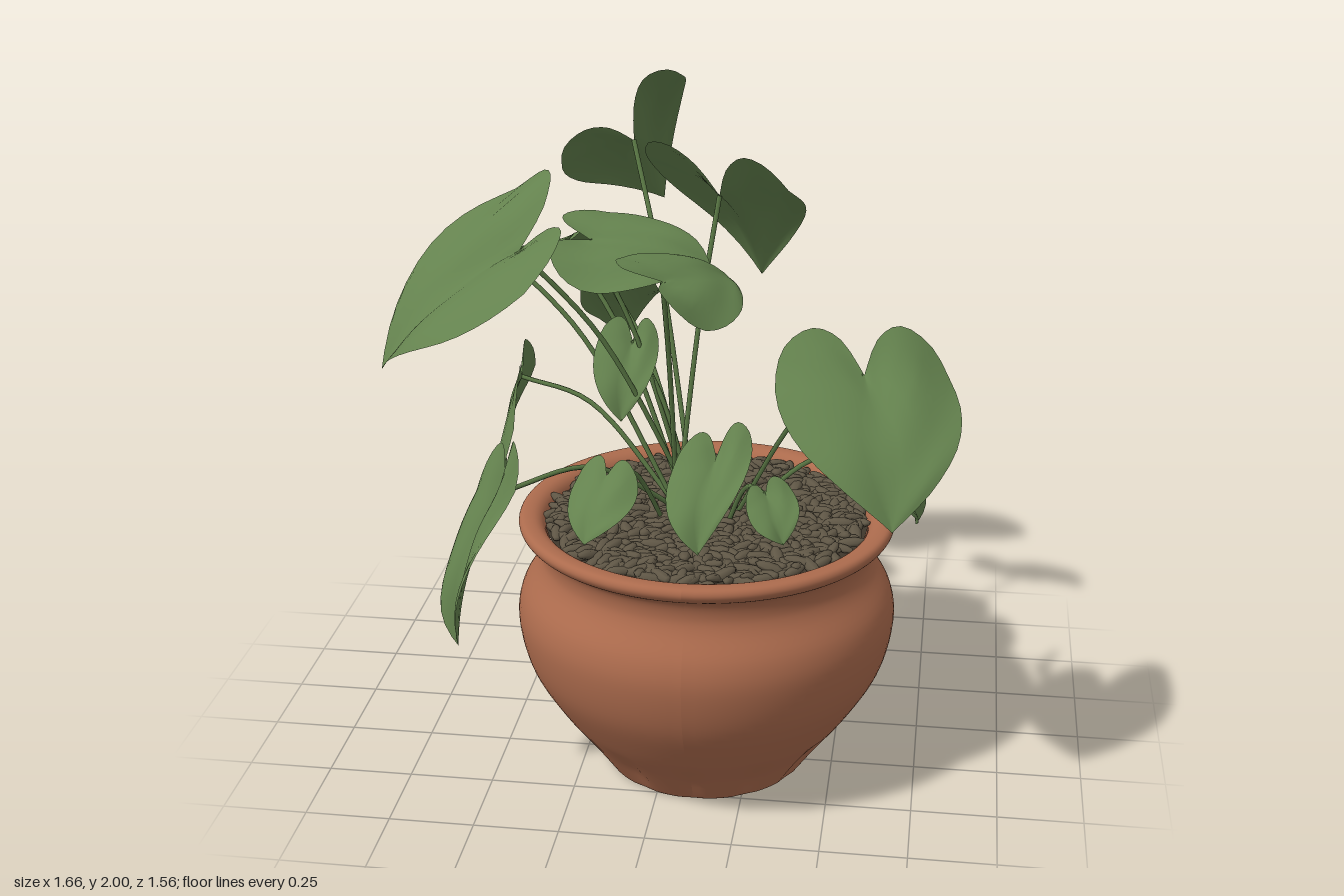
import * as THREE from 'three';
import { mergeGeometries } from 'three/addons/utils/BufferGeometryUtils.js';

const V = (a) => new THREE.Vector3(...a);
const V2 = (x, y) => new THREE.Vector2(x, y);

// Small seeded random generator
function seeded(seed) {
  return () => {
    seed = (seed * 16807) % 2147483647;
    return seed / 2147483647;
  };
}

// One half of a heart-shaped blade: x runs along the midrib, y is the width
const outline = new THREE.SplineCurve([
  V2(0, 0), V2(-0.23, 0.21), V2(-0.31, 0.51), V2(-0.17, 0.86), V2(0.15, 1),
  V2(0.47, 0.85), V2(0.77, 0.46), V2(1, 0),
]);

// Blade from its stem joint, tip and the widest point of either half
function leafGeometry(joint, tip, sideA, sideB) {
  const P = V(joint), T = V(tip), A = V(sideA), B = V(sideB);
  const axis = T.clone().sub(P);
  const len = axis.length();
  const normal = A.clone().sub(B).cross(axis).normalize();
  if (normal.y < 0) normal.negate();
  const midrib = (a) => P.clone().addScaledVector(axis, a)
    .addScaledVector(normal, a > 0 ? 0.3 * len * a * (1 - a) : 0);
  const vecA = A.sub(midrib(0.15)), vecB = B.sub(midrib(0.15));
  const rows = 22, half = 5, cols = 2 * half + 1;
  const positions = [], index = [];
  for (let i = 0; i <= rows; i++) {
    const t = i / rows, edge = outline.getPoint(t);
    for (let j = -half; j <= half; j++) {
      const k = Math.abs(j) / half;
      const a = THREE.MathUtils.lerp(t, edge.x, k), w = edge.y * k;
      const ripple = 0.02 * len * Math.sin(t * 13 + j) * k * Math.sin(Math.PI * t);
      const p = midrib(a).addScaledVector(j < 0 ? vecB : vecA, w)
        .addScaledVector(normal, 0.23 * len * w * (1 - w) + ripple);
      positions.push(p.x, p.y, p.z);
    }
  }
  for (let i = 0; i < rows; i++) {
    for (let j = 0; j < cols - 1; j++) {
      const q = i * cols + j;
      index.push(q, q + cols, q + 1, q + 1, q + cols, q + cols + 1);
    }
  }
  const g = new THREE.BufferGeometry();
  g.setAttribute('position', new THREE.Float32BufferAttribute(positions, 3));
  g.setIndex(index);
  g.computeVertexNormals();
  return g;
}

export function createModel() {
  const model = new THREE.Group();
  const material = (name, color, side = THREE.FrontSide) => {
    const m = new THREE.MeshStandardMaterial({ color, side });
    m.name = name;
    return m;
  };
  const terracotta = material('terracotta', 0xac6b4d);
  const leafGreen = material('leaf green', 0x64824e, THREE.DoubleSide);
  const stemGreen = material('stem green', 0x587543);
  const pebbleBrown = material('pebble brown', 0x605746);
  const soilBrown = material('soil brown', 0x3f372c);
  const add = (name, geometry, mat, parent = model) => {
    const mesh = new THREE.Mesh(geometry, mat);
    mesh.name = name;
    parent.add(mesh);
    return mesh;
  };

  // Pot with a rolled rim, standing off the plant's centre
  const pot = new THREE.Group();
  pot.name = 'pot';
  pot.position.set(0.11, 0, 0.22);
  model.add(pot);
  const wall = new THREE.SplineCurve([
    V2(0.303, 0.004), V2(0.37, 0.1), V2(0.455, 0.215), V2(0.53, 0.345), V2(0.56, 0.475),
    V2(0.548, 0.565), V2(0.5, 0.645), V2(0.488, 0.69), V2(0.5, 0.735), V2(0.54, 0.762),
    V2(0.553, 0.785), V2(0.54, 0.803), V2(0.5, 0.8), V2(0.475, 0.77), V2(0.468, 0.7),
  ]).getPoints(70);
  const potGeometry = new THREE.LatheGeometry(
    [V2(0, 0.012), V2(0.27, 0.012), V2(0.285, 0), V2(0.298, 0), ...wall], 96);
  // Soft flutes pressed into the foot
  const pp = potGeometry.attributes.position;
  for (let i = 0; i < pp.count; i++) {
    const x = pp.getX(i), y = pp.getY(i), z = pp.getZ(i);
    const fade = Math.max(0, 1 - Math.abs(y - 0.07) / 0.1);
    const f = 1 - 0.04 * fade * Math.max(0, Math.cos(12 * Math.atan2(z, x)));
    pp.setXYZ(i, x * f, y, z * f);
  }
  potGeometry.computeVertexNormals();
  add('potBody', potGeometry, terracotta, pot);

  const soil = add('soil', new THREE.CircleGeometry(0.474, 48), soilBrown, pot);
  soil.rotation.x = -Math.PI / 2;
  soil.position.y = 0.77;

  // Elongated pebbles spread in a spiral
  const random = seeded(41);
  const pebbles = [];
  const count = 720;
  for (let i = 0; i < count; i++) {
    const r = 0.46 * Math.sqrt((i + 0.5) / count), angle = i * 2.39996;
    const s = 0.85 + 0.35 * random();
    const g = new THREE.SphereGeometry(1, 7, 5);
    g.rotateZ(Math.PI / 2);
    g.scale(0.04 * s, 0.013 * s, 0.018 * s);
    g.rotateZ((random() - 0.5) * 0.7);
    g.rotateY(random() * Math.PI);
    g.translate(r * Math.cos(angle), 0.776 + 0.012 * random(), r * Math.sin(angle));
    pebbles.push(g);
  }
  add('pebbles', mergeGeometries(pebbles), pebbleBrown, pot);

  // Each leaf has a blade and a stem arching up from the soil
  let number = 0;
  const leaf = (joint, tip, sideA, sideB, root = [0.04, 0.14]) => {
    const group = new THREE.Group();
    group.name = `leaf${++number}`;
    model.add(group);
    add('blade', leafGeometry(joint, tip, sideA, sideB), leafGreen, group);
    const end = V(joint);
    const start = V([root[0] + 0.03 * Math.sin(number * 2.4), 0.76, root[1] + 0.03 * Math.cos(number * 2.4)]);
    const middle = start.clone().lerp(end, 0.55);
    middle.y += 0.05 + 0.1 * Math.hypot(end.x - start.x, end.z - start.z);
    const path = new THREE.CatmullRomCurve3([start, middle, end]);
    add('stem', new THREE.TubeGeometry(path, 16, 0.0075, 6), stemGreen, group);
  };

  // Tall leaves at the back
  leaf([-0.2, 1.75, -0.41], [-0.16, 1.47, -0.78], [-0.04, 1.945, -0.42], [-0.41, 1.65, -0.36]);
  leaf([0.1, 1.66, -0.13], [0.2, 1.33, -0.43], [0.34, 1.66, -0.13], [-0.11, 1.73, -0.18]);
  leaf([-0.25, 1.3, -0.3], [-0.28, 1, -0.66], [-0.13, 1.25, -0.46], [-0.37, 1.22, -0.38]);
  // Leaves on the right-hand side of the plant
  leaf([-0.36, 1.5, -0.12], [-0.64, 1.28, -0.32], [-0.41, 1.4, -0.38], [-0.48, 1.45, 0.01]);
  leaf([-0.53, 1.5, 0], [-0.82, 1.4, -0.18], [-0.58, 1.42, -0.19], [-0.65, 1.45, 0.1]);
  leaf([-0.42, 1.59, 0.27], [-0.81, 1.25, 0.37], [-0.56, 1.67, 0.05], [-0.42, 1.49, 0.56]);
  leaf([-0.5, 1.08, -0.08], [-0.55, 0.75, -0.07], [-0.52, 1, -0.26], [-0.5, 0.92, 0.12]);
  leaf([-0.43, 0.95, 0.5], [-0.56, 0.5, 0.6], [-0.42, 0.92, 0.62], [-0.56, 0.84, 0.45]);
  // Leaves over the middle
  leaf([-0.25, 1.58, 0.1], [0.1, 1.5, 0.06], [-0.18, 1.48, 0.29], [-0.15, 1.62, -0.03]);
  leaf([0, 1.54, 0.35], [0.16, 1.48, 0.1], [0.17, 1.42, 0.37], [-0.1, 1.58, 0.24]);
  leaf([-0.13, 1.27, 0.08], [-0.15, 1.05, 0.18], [-0.05, 1.23, 0.13], [-0.24, 1.23, 0.11]);
  // Large leaf at the front and small leaf over the rim
  leaf([0.57, 1.33, 0.45], [0.67, 0.99, 0.73], [0.83, 1.26, 0.43], [0.34, 1.28, 0.56], [0.2, 0.2]);
  leaf([0.61, 0.92, 0.06], [0.72, 0.68, -0.03], [0.65, 0.85, 0.18], [0.69, 0.87, -0.07], [0.2, 0.16]);
  // Young low leaves at the front
  leaf([0.16, 1.05, 0.41], [0.13, 0.82, 0.58], [0.26, 1.05, 0.46], [0.03, 0.98, 0.47], [0.1, 0.25]);
  leaf([-0.14, 1.01, 0.49], [-0.18, 0.86, 0.64], [-0.05, 0.96, 0.57], [-0.24, 0.96, 0.49], [0.02, 0.25]);
  leaf([0.3, 0.94, 0.4], [0.36, 0.82, 0.48], [0.39, 0.93, 0.4], [0.26, 0.89, 0.47], [0.15, 0.22]);

  return model;
}
